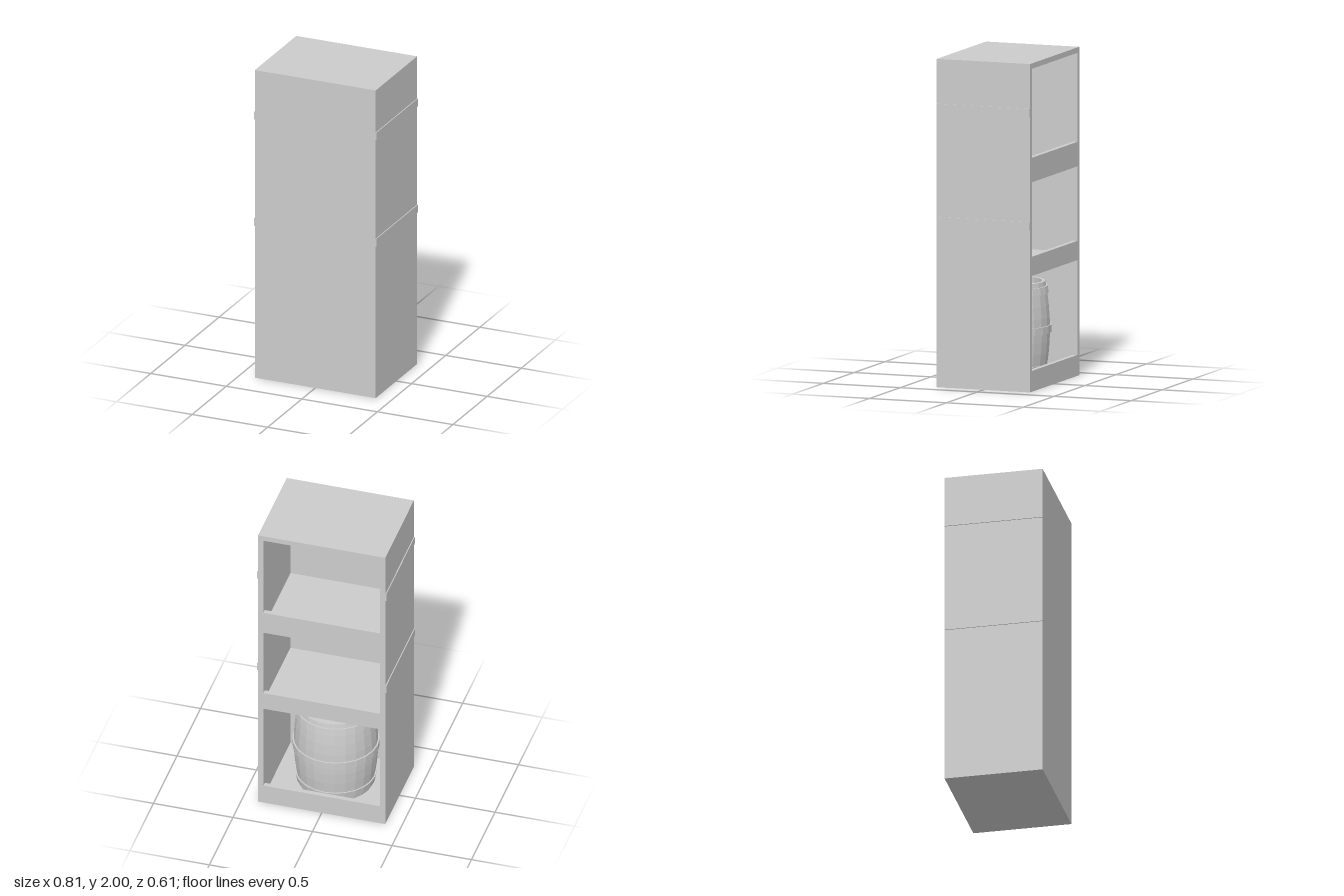
import * as THREE from 'three';

export function createModel() {
  const group = new THREE.Group();
  group.name = 'shelfCabinet';
  const grey = new THREE.MeshStandardMaterial({ color: 0xcccccc });
  grey.name = 'plainGrey';
  const barrelGrey = grey.clone();
  barrelGrey.name = 'plainGreyFaceted';
  barrelGrey.flatShading = true;

  const W = 0.4, D = 0.303, H = 2, T = 0.033; // half width, half depth, height, panel

  // Box from its minimum and maximum corners
  function box(name, x0, x1, y0, y1, z0, z1) {
    const mesh = new THREE.Mesh(new THREE.BoxGeometry(x1 - x0, y1 - y0, z1 - z0), grey);
    mesh.position.set((x0 + x1) / 2, (y0 + y1) / 2, (z0 + z1) / 2);
    mesh.name = name;
    group.add(mesh);
  }

  // Carcass: closed front, two sides and top; the bays open at -z
  box('frontPanel', -W, W, 0, H, D - T, D);
  box('topPanel', -W + T, W - T, H - T, H, -D, D - T);
  for (const s of [-1, 1]) {
    const a = s * W, b = s * (W - T);
    box('sidePanel', Math.min(a, b), Math.max(a, b), 0, H, -D, D - T);

    // Thin rails across the outside of each side
    for (const y of [0.987, 1.677]) {
      const c = s * (W + 0.006);
      box('sideRail', Math.min(a, c), Math.max(a, c), y, y + 0.05, -D, D);
    }
  }

  // Shelves, each with a raised lip along the open side
  for (const [bottom, floor, lip] of [[0, 0.04, 0.127], [0.705, 0.755, 0.822], [1.276, 1.316, 1.425]]) {
    box('shelf', -W + T, W - T, bottom, floor, -D + 0.03, D - T);
    box('shelfLip', -W + T, W - T, bottom, lip, -D, -D + 0.03);
  }

  // Barrel in the lowest bay
  const barrel = new THREE.Group();
  barrel.name = 'barrel';
  barrel.position.y = 0.04;
  group.add(barrel);
  const height = 0.575, sides = 24;
  const radiusAt = y => 0.255 - 0.029 * (2 * y / height - 1) ** 2;

  function lathe(name, points) {
    const mesh = new THREE.Mesh(
      new THREE.LatheGeometry(points.map(p => new THREE.Vector2(...p)), sides), barrelGrey);
    mesh.name = name;
    barrel.add(mesh);
  }

  // Bulging staves with a rim and a recessed lid
  const profile = [[0, 0]];
  for (let i = 0; i <= 8; i++) {
    const y = height * i / 8;
    profile.push([radiusAt(y), y]);
  }
  profile.push([0.205, height], [0.205, height - 0.035], [0, height - 0.035]);
  lathe('barrelBody', profile);

  // Hoops that follow the bulge
  for (const y of [0.05, height / 2, height - 0.05]) {
    const a = y - 0.022, b = y + 0.022, t = 0.009;
    lathe('barrelHoop', [
      [radiusAt(a) - 0.004, a], [radiusAt(a) + t, a],
      [radiusAt(b) + t, b], [radiusAt(b) - 0.004, b],
    ]);
  }
  return group;
}
